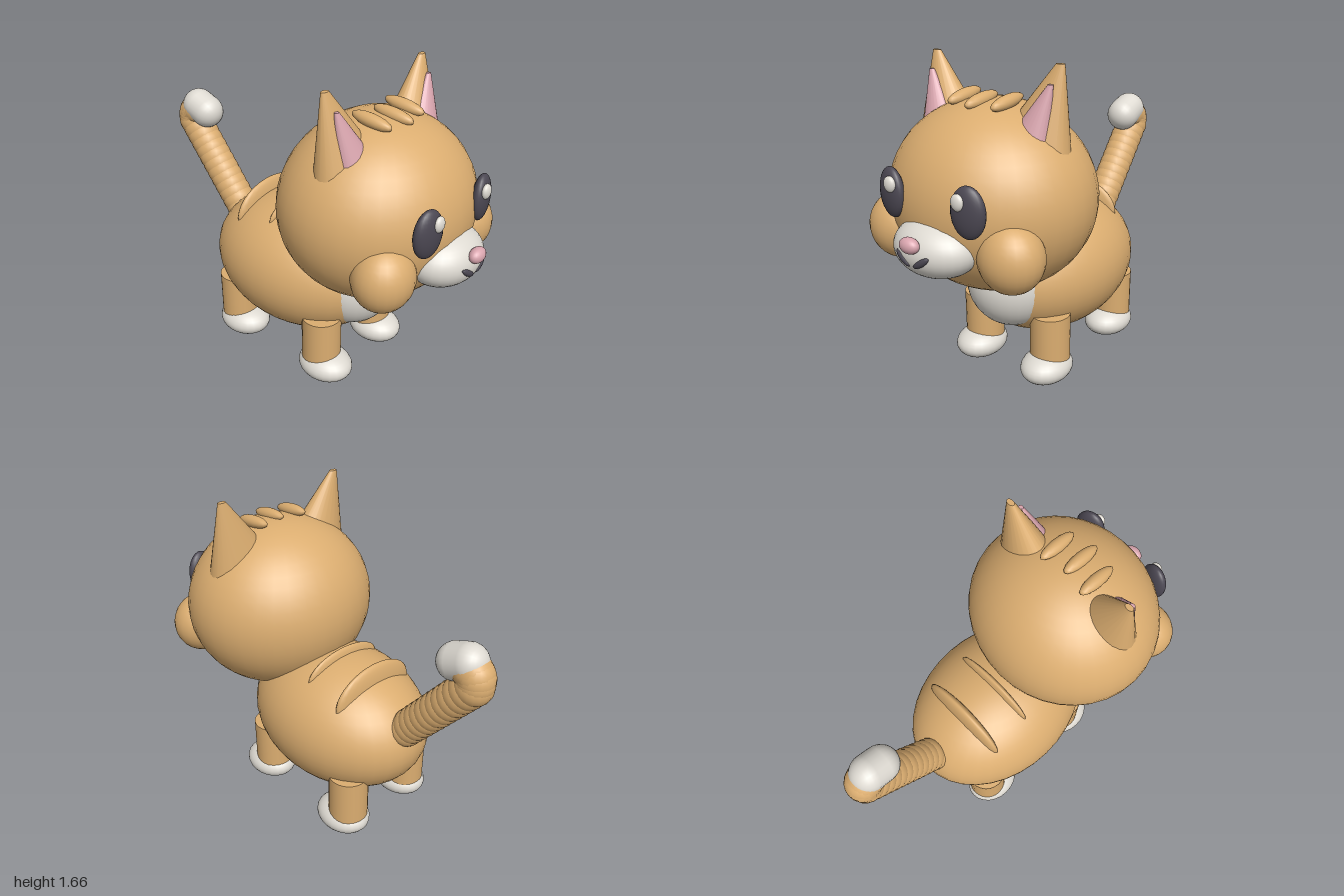
import * as THREE from 'three';

const paint = (name, color) => {
  const m = new THREE.MeshStandardMaterial({ color });
  m.name = name;
  return m;
};

export function createModel() {
  const fur = paint('ginger fur', 0xdbad70);
  const white = paint('cream white', 0xdedad2);
  const dark = paint('charcoal', 0x4b4752);
  const pink = paint('soft pink', 0xd9a5ae);

  const model = new THREE.Group();
  model.name = 'kitten';

  const add = (name, geometry, material, pos = [0, 0, 0], rot = [0, 0, 0], parent = model) => {
    const mesh = new THREE.Mesh(geometry, material);
    mesh.name = name;
    mesh.position.set(...pos);
    mesh.rotation.set(...rot);
    parent.add(mesh);
    return mesh;
  };

  // Ellipsoid with its three radii baked into the geometry
  const ball = (name, material, pos, [rx, ry, rz], rot, seg = 24, parent = model) =>
    add(name, new THREE.SphereGeometry(1, seg, Math.round(seg * 0.7)).scale(rx, ry, rz), material, pos, rot, parent);

  // Leaning cone with an oval section, from base centre to tip
  const earCone = (name, material, base, tip, rx, rz, tipRadius) => {
    const h = tip[1] - base[1];
    const g = new THREE.CylinderGeometry(tipRadius, rx, h, 24).scale(1, 1, rz / rx).translate(0, h / 2, 0);
    const shear = new THREE.Matrix4().set(
      1, (tip[0] - base[0]) / h, 0, 0,
      0, 1, 0, 0,
      0, (tip[2] - base[2]) / h, 1, 0,
      0, 0, 0, 1);
    add(name, g.applyMatrix4(shear), material, base);
  };

  // Body and head
  ball('body', fur, [0, 0.515, -0.07], [0.4, 0.365, 0.53], undefined, 36);
  ball('chest', white, [0, 0.52, 0.27], [0.24, 0.25, 0.24], undefined, 32);
  ball('head', fur, [0, 1.02, 0.41], [0.515, 0.46, 0.465], undefined, 36);

  // Face centre
  ball('muzzle', white, [0, 0.882, 0.8], [0.215, 0.137, 0.17], undefined, 32);
  ball('nose', pink, [0, 0.94, 0.966], [0.052, 0.037, 0.034]);

  for (const s of [1, -1]) {
    const side = s > 0 ? 'left' : 'right';

    // Face sides
    ball(side + 'Cheek', fur, [s * 0.335, 0.875, 0.7], [0.156, 0.163, 0.143]);
    ball(side + 'Eye', dark, [s * 0.224, 1.097, 0.838], [0.083, 0.118, 0.04], [0, s * 0.2, 0]);
    ball(side + 'EyeHighlight', white, [s * 0.198, 1.147, 0.874], [0.033, 0.038, 0.02]);
    ball(side + 'Mouth', dark, [s * 0.053, 0.868, 0.956], [0.05, 0.017, 0.015], [0, s * 0.12, s * 0.6], 16);

    // Ears
    earCone(side + 'Ear', fur, [s * 0.222, 1.26, 0.41], [s * 0.358, 1.657, 0.375], 0.205, 0.13, 0.022);
    earCone(side + 'InnerEar', pink, [s * 0.245, 1.3, 0.47], [s * 0.345, 1.575, 0.43], 0.115, 0.085, 0.013);

    // Legs and paws
    for (const [end, legZ, pawZ] of [['Front', 0.25, 0.28], ['Back', -0.365, -0.33]]) {
      add(side + end + 'Leg', new THREE.CylinderGeometry(0.104, 0.104, 0.27, 24), fur, [s * 0.218, 0.24, legZ]);
      ball(side + end + 'Paw', white, [s * 0.219, 0.083, pawZ], [0.127, 0.083, 0.154]);
    }
  }

  // Raised stripes on the head and back
  for (const [x, z] of [[-0.125, 0.45], [0, 0.477], [0.125, 0.45]]) {
    ball('headStripe', fur, [x, 1.478, z], [0.034, 0.032, 0.11], [0.12, 0, 0], 16);
  }
  ball('frontBackStripe', fur, [0, 0.8, -0.088], [0.24, 0.115, 0.029]);
  ball('rearBackStripe', fur, [0, 0.75, -0.307], [0.255, 0.165, 0.041]);

  // Ribbed tail: overlapping beads along a straight rise, then a close-set bend
  const tail = new THREE.Group();
  tail.name = 'tail';
  model.add(tail);
  const root = new THREE.Vector3(0, 0.655, -0.545);
  const top = new THREE.Vector3(0, 1.09, -0.903);
  const beads = 12;
  for (let i = 0; i <= beads; i++) {
    const p = root.clone().lerp(top, i / beads);
    ball('tailBead', fur, p.toArray(), [0.092, 0.092, 0.092], undefined, 20, tail);
  }
  const bend = new THREE.QuadraticBezierCurve3(top, new THREE.Vector3(0, 1.15, -0.92), new THREE.Vector3(0, 1.165, -0.875));
  for (const p of bend.getPoints(5).slice(1)) {
    ball('tailBend', fur, p.toArray(), [0.09, 0.09, 0.09], undefined, 20, tail);
  }
  add('tailTip', new THREE.CapsuleGeometry(0.091, 0.07, 8, 24), white, [0, 1.182, -0.829], [-1.2, 0, 0], tail);

  return model;
}
